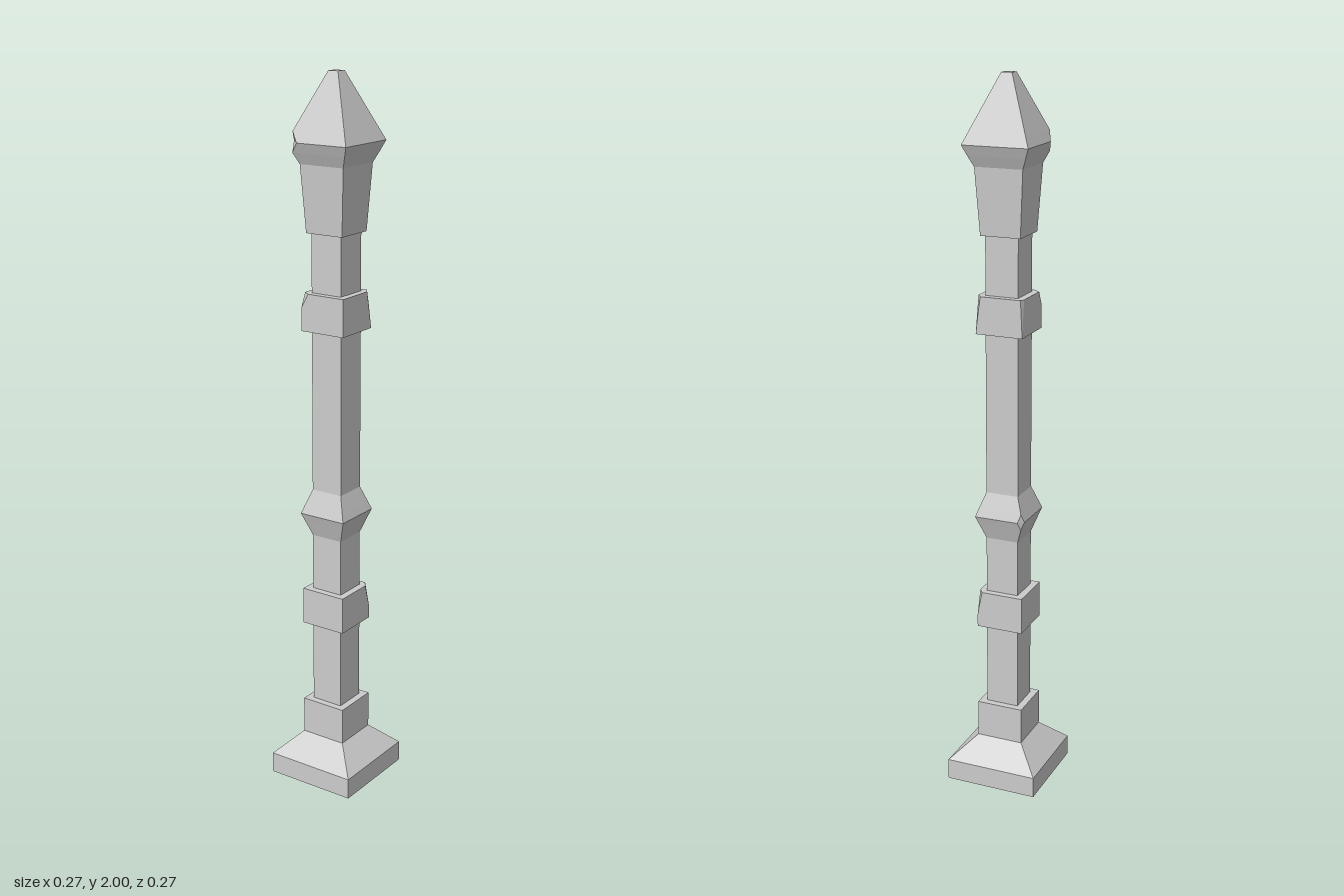
import * as THREE from 'three';

const material = new THREE.MeshStandardMaterial({ color: 0xcccccc, flatShading: true });

// Corners in counter-clockwise order seen from above: [x, z, incoming dir, outgoing dir]
const CORNERS = [
  [1, 1, [1, 0], [0, -1]],
  [1, -1, [0, -1], [-1, 0]],
  [-1, -1, [-1, 0], [0, 1]],
  [-1, 1, [0, 1], [1, 0]],
];

// Square ring whose corners may be chipped; cuts = { cornerIndex: [before, after] }
function ring(y, half, cuts = {}) {
  return CORNERS.flatMap(([x, z, din, dout], k) => {
    const [a, b] = cuts[k] ?? [0, 0];
    return [
      [x * half - din[0] * a, y, z * half - din[1] * a],
      [x * half + dout[0] * b, y, z * half + dout[1] * b],
    ];
  });
}

// Closed solid through a stack of [y, half, cuts] sections
function loft(name, sections) {
  const rings = sections.map((s) => ring(...s));
  const pos = [];
  const tri = (a, b, c) => {
    const same = (p, q) => p.every((v, i) => Math.abs(v - q[i]) < 1e-6);
    if (!same(a, b) && !same(b, c) && !same(a, c)) pos.push(...a, ...b, ...c);
  };
  for (let r = 0; r < rings.length - 1; r++) {
    const lo = rings[r], hi = rings[r + 1];
    for (let i = 0; i < 8; i++) {
      const j = (i + 1) % 8;
      tri(lo[i], lo[j], hi[j]);
      tri(lo[i], hi[j], hi[i]);
    }
  }
  const bottom = rings[0], top = rings[rings.length - 1];
  for (let i = 1; i < 7; i++) {
    tri(bottom[0], bottom[i + 1], bottom[i]);
    tri(top[0], top[i], top[i + 1]);
  }
  const geometry = new THREE.BufferGeometry();
  geometry.setAttribute('position', new THREE.Float32BufferAttribute(pos, 3));
  geometry.computeVertexNormals();
  const mesh = new THREE.Mesh(geometry, material);
  mesh.name = name;
  return mesh;
}

export function createModel() {
  const group = new THREE.Group();
  group.name = 'squarePost';

  group.add(
    // Foot with sloped shoulder and collar block
    loft('base', [[0, 0.133], [0.06, 0.133], [0.125, 0.067], [0.23, 0.067]]),
    // Long square shaft
    loft('shaft', [[0.2, 0.047], [1.6, 0.047]]),
    // Lower band, chipped at the back
    loft('lowerBand', [
      [0.47, 0.067],
      [0.505, 0.067],
      [0.575, 0.067, { 1: [0.02, 0.014] }],
    ]),
    // Pointed ring with one worn corner
    loft('middleRing', [
      [0.735, 0.047],
      [0.78, 0.063],
      [0.802, 0.071, { 2: [0.015, 0.015] }],
      [0.825, 0.063],
      [0.87, 0.047],
    ]),
    // Upper band, chipped on three corners
    loft('upperBand', [
      [1.322, 0.067],
      [1.385, 0.067, { 1: [0.012, 0.008], 2: [0.003, 0.008] }],
      [1.425, 0.067, { 1: [0.02, 0.014], 2: [0.005, 0.013], 3: [0.018, 0.022] }],
    ]),
    // Flared head with a pyramid cap and a broken front corner
    loft('head', [
      [1.585, 0.057],
      [1.765, 0.068],
      [1.795, 0.0816],
      [1.822, 0.093, { 3: [0.035, 0.033] }],
      [1.85, 0.0808],
      [2, 0.015],
    ]),
  );
  return group;
}
